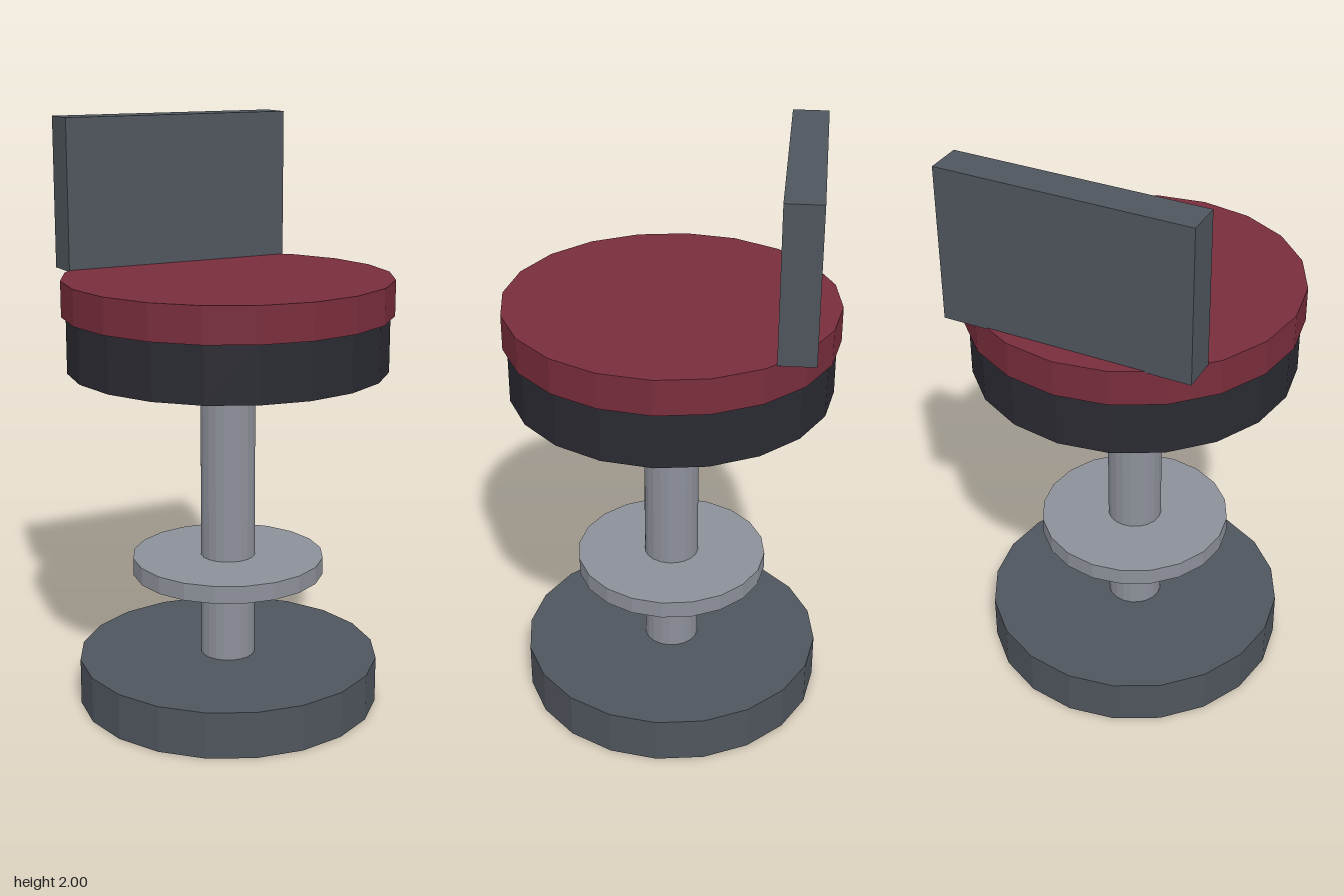
import * as THREE from 'three';

function material(name, color) {
  const m = new THREE.MeshStandardMaterial({ color });
  m.name = name;
  return m;
}

export function createModel() {
  const group = new THREE.Group();
  group.name = 'swivelStool';

  const slate = material('slate grey', 0x4f555d);
  const steel = material('steel grey', 0x8c9099);
  const black = material('charcoal black', 0x2a2a32);
  const red = material('dark red', 0x782d3c);

  // Faceted geometry: every side and cap keeps its own flat normal
  function add(name, geometry, mat, x, y, z) {
    const flat = geometry.toNonIndexed();
    flat.computeVertexNormals();
    const mesh = new THREE.Mesh(flat, mat);
    mesh.name = name;
    mesh.position.set(x, y, z);
    group.add(mesh);
  }

  // Upright 20-sided disc from y0 to y1
  function disc(name, radius, y0, y1, mat) {
    add(name, new THREE.CylinderGeometry(radius, radius, y1 - y0, 20), mat, 0, (y0 + y1) / 2, 0);
  }

  disc('base', 0.52, 0, 0.16, slate);
  disc('post', 0.094, 0.15, 1.19, steel);
  disc('footRest', 0.33, 0.46, 0.52, steel);
  disc('seatPan', 0.54, 1.18, 1.37, black);
  disc('seatCushion', 0.555, 1.37, 1.49, red);

  // Upright board standing on the rear of the cushion
  add('backrest', new THREE.BoxGeometry(0.835, 0.515, 0.12), slate, 0, 1.7425, -0.419);

  return group;
}
